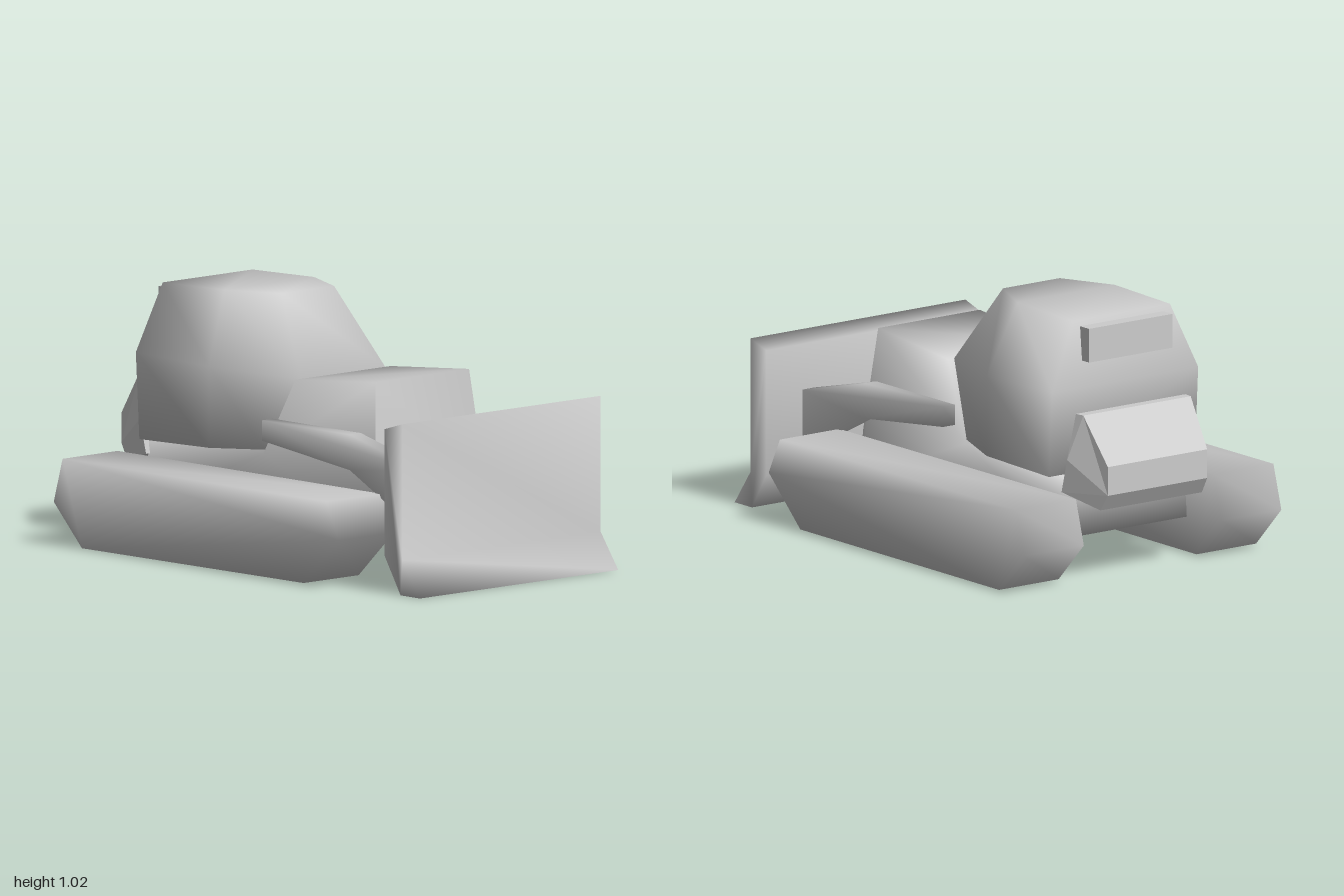
import * as THREE from 'three';

const material = new THREE.MeshStandardMaterial({ color: 0xcccccc });
const flatMaterial = new THREE.MeshStandardMaterial({ color: 0xcccccc, flatShading: true });

function meshFrom(name, positions, index, flat = false) {
  let geometry = new THREE.BufferGeometry();
  geometry.setAttribute('position', new THREE.Float32BufferAttribute(positions, 3));
  geometry.setIndex(index);
  if (flat) geometry = geometry.toNonIndexed();
  geometry.computeVertexNormals();
  const mesh = new THREE.Mesh(geometry, flat ? flatMaterial : material);
  mesh.name = name;
  return mesh;
}

// Side profile of [z, y, halfWidth] points, spanned across x and closed at both ends
function profileSolid(name, profile, { halfWidth = 0, x = 0, flat = false } = {}) {
  let pts = profile.map(([z, y, w = halfWidth]) => ({ z, y, w }));
  const to2D = (list) => list.map((p) => new THREE.Vector2(p.z, p.y));
  if (THREE.ShapeUtils.isClockWise(to2D(pts))) pts = pts.reverse();
  const n = pts.length;
  const positions = [];
  for (const side of [-1, 1]) for (const p of pts) positions.push(x + side * p.w, p.y, p.z);
  const index = [];
  for (const [a, b, c] of THREE.ShapeUtils.triangulateShape(to2D(pts), [])) {
    index.push(a, b, c, n + a, n + c, n + b);
  }
  for (let i = 0; i < n; i++) {
    const j = (i + 1) % n;
    index.push(i, n + i, j, j, n + i, n + j);
  }
  return meshFrom(name, positions, index, flat);
}

// Mirrored cross-sections listed front to back; each half runs bottom to top
function loftSolid(name, sections) {
  const n = sections[0].length * 2;
  const positions = [];
  for (const half of sections) {
    const mirrored = half.map(([x, y, z]) => [-x, y, z]).reverse();
    for (const p of [...half, ...mirrored]) positions.push(...p);
  }
  const index = [];
  for (let r = 0; r < sections.length - 1; r++) {
    for (let i = 0; i < n; i++) {
      const a = r * n + i, b = r * n + (i + 1) % n;
      index.push(a, a + n, b, b, a + n, b + n);
    }
  }
  // End caps as strips between the two halves
  const last = (sections.length - 1) * n;
  for (let i = 0; i < n / 2 - 1; i++) {
    const a = i, b = i + 1, c = n - 2 - i, d = n - 1 - i;
    index.push(a, b, c, a, c, d);
    index.push(last + a, last + c, last + b, last + a, last + d, last + c);
  }
  return meshFrom(name, positions, index);
}

export function createModel() {
  const model = new THREE.Group();
  model.name = 'bulldozer';

  // Tracks and the arms that carry the blade
  const track = [[0.65, 0.2], [0.58, 0.345], [-0.92, 0.345], [-0.97, 0.17], [-0.81, 0.005], [0.45, 0.01]];
  const arm = [[0.81, 0.46], [0.41, 0.56], [-0.09, 0.56], [-0.09, 0.48], [0.41, 0.42], [0.81, 0.215]];
  for (const [side, label] of [[1, 'left'], [-1, 'right']]) {
    model.add(profileSolid(label + 'Track', track, { halfWidth: 0.147, x: side * 0.487 }));
    model.add(profileSolid(label + 'BladeArm', arm, { halfWidth: 0.03, x: side * 0.32 }));
  }

  // Blade with a forward-kicked cutting edge
  model.add(profileSolid('blade', [
    [0.9, 0.675], [0.8, 0.645], [0.8, 0.145], [0.89, 0], [1, 0], [0.9, 0.14],
  ], { halfWidth: 0.53 }));

  // Engine hood and chassis, tapering upward
  model.add(profileSolid('hoodAndChassis', [
    [0.45, 0.76, 0.25], [0, 0.72, 0.255], [-0.15, 0.415, 0.285],
    [-0.8, 0.4, 0.285], [-0.8, 0.16, 0.3], [0.5, 0.16, 0.3], [0.495, 0.345, 0.29],
  ]));

  // Cab
  model.add(loftSolid('cab', [
    [[0.28, 0.43, -0.15], [0.225, 0.72, 0], [0.14, 1.025, -0.2]],
    [[0.36, 0.42, -0.38], [0.36, 0.74, -0.38], [0.24, 1.025, -0.42]],
    [[0.36, 0.41, -0.775], [0.36, 0.75, -0.795], [0.24, 1.015, -0.77]],
  ]));

  // Faceted counterweight behind the cab
  model.add(profileSolid('counterweight', [
    [-0.83, 0.66, 0.27], [-0.87, 0.66, 0.265], [-1, 0.475, 0.245], [-1, 0.36, 0.245],
    [-0.96, 0.295, 0.25], [-0.79, 0.345, 0.31], [-0.825, 0.48, 0.31],
  ], { flat: true }));

  // Lamp box high on the back of the cab
  const lamp = new THREE.Mesh(new THREE.BoxGeometry(0.41, 0.135, 0.06), material);
  lamp.name = 'rearLamp';
  lamp.position.set(0, 0.923, -0.8);
  model.add(lamp);

  return model;
}
